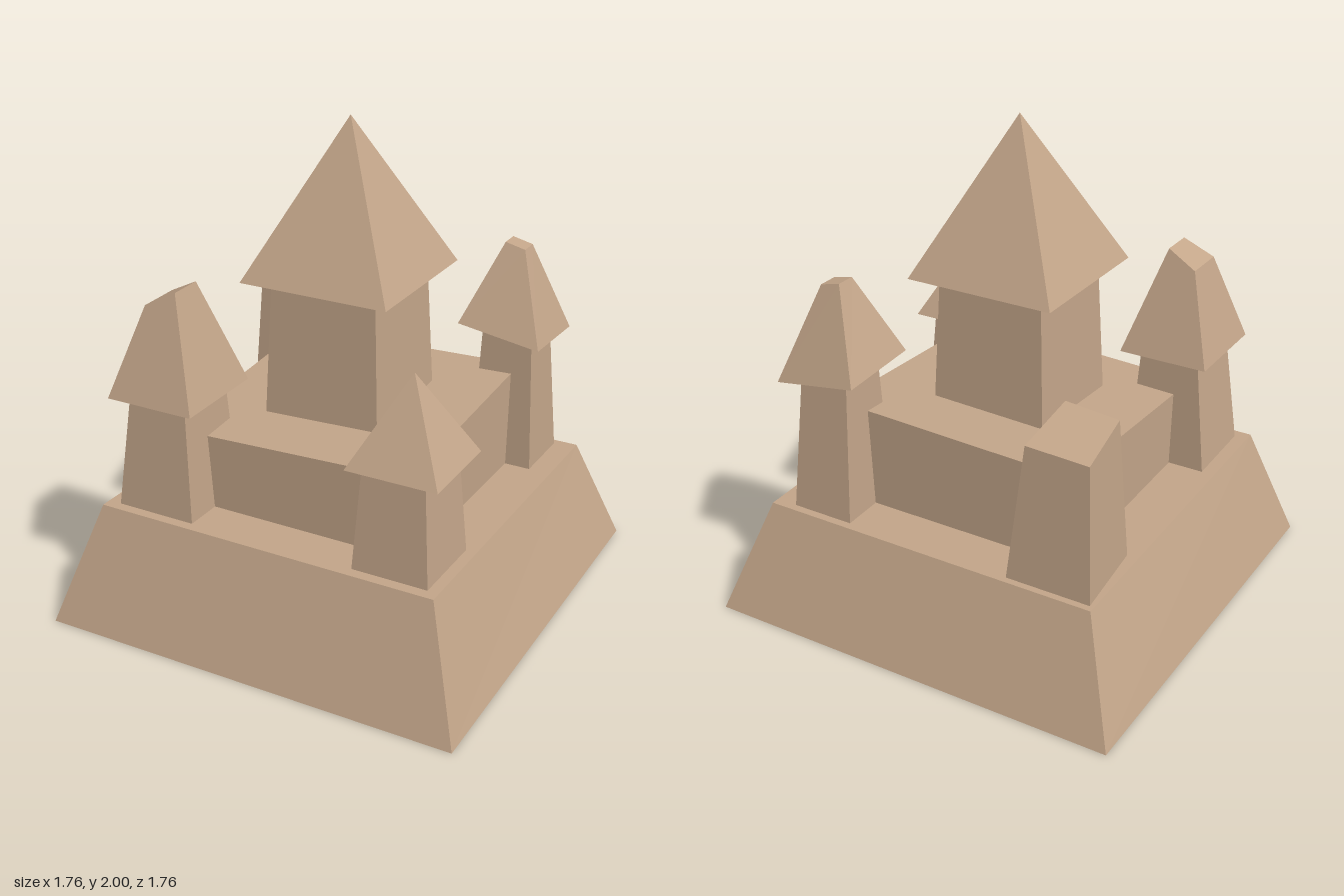
import * as THREE from 'three';

const sand = new THREE.MeshStandardMaterial({ color: 0xc4a68a });
sand.name = 'sand';

// Four corners (back left, front left, front right, back right).
// y is one height, or a height for each corner.
function ring(x0, x1, z0, z1, y) {
  const h = Array.isArray(y) ? y : [y, y, y, y];
  return [[x0, h[0], z0], [x0, h[1], z1], [x1, h[2], z1], [x1, h[3], z0]];
}

// Flat-faced solid between two four-cornered rings.
function block(name, bottom, top) {
  const pos = [];
  const tri = (...p) => p.forEach((v) => pos.push(...v));
  const quad = (a, b, c, d) => { tri(a, b, c); tri(a, c, d); };
  for (let i = 0; i < 4; i++) {
    const j = (i + 1) % 4;
    quad(bottom[i], bottom[j], top[j], top[i]);
  }
  quad(...top);
  quad(...[...bottom].reverse());
  const geo = new THREE.BufferGeometry();
  geo.setAttribute('position', new THREE.Float32BufferAttribute(pos, 3));
  geo.computeVertexNormals();
  const mesh = new THREE.Mesh(geo, sand);
  mesh.name = name;
  return mesh;
}

// Four-sided pointed roof with a flat underside.
function pointedRoof(name, x, z, r, y, tip) {
  const geo = new THREE.ConeGeometry(r * Math.SQRT2, tip - y, 4, 1).rotateY(Math.PI / 4).toNonIndexed();
  geo.computeVertexNormals();
  const mesh = new THREE.Mesh(geo, sand);
  mesh.position.set(x, (y + tip) / 2, z);
  mesh.name = name;
  return mesh;
}

export function createModel() {
  const castle = new THREE.Group();
  castle.name = 'sandCastle';

  // Mound and the walled block on it, both with slightly sloping tops
  castle.add(
    block('mound', ring(-0.885, 0.88, -0.885, 0.88, 0), ring(-0.725, 0.72, -0.725, 0.72, [0.465, 0.5, 0.5, 0.465])),
    block('innerBlock', ring(-0.52, 0.52, -0.52, 0.515, 0.45), ring(-0.52, 0.52, -0.52, 0.515, [0.85, 0.795, 0.835, 0.885])),
  );

  // Central tower
  castle.add(
    block('mainTower', ring(-0.25, 0.25, -0.25, 0.25, 0.78), ring(-0.225, 0.225, -0.225, 0.225, 1.38)),
    pointedRoof('mainRoof', 0, 0, 0.314, 1.376, 2),
  );

  // Front tower with a whole roof
  castle.add(
    block('frontLeftTower', ring(0.363, 0.678, 0.337, 0.677, 0.46), ring(0.39, 0.645, 0.36, 0.645, 0.9)),
    pointedRoof('frontLeftRoof', 0.52, 0.49, 0.186, 0.9, 1.25),
  );

  // Front tower with a worn roof tip
  castle.add(
    block('frontRightTower', ring(-0.675, -0.33, 0.337, 0.68, 0.46), ring(-0.615, -0.365, 0.36, 0.645, 0.97)),
    block('frontRightRoof', ring(-0.675, -0.3, 0.295, 0.705, 0.97),
      [[-0.56, 1.335, 0.41], [-0.56, 1.335, 0.59], [-0.435, 1.4, 0.57], [-0.435, 1.4, 0.43]]),
  );

  // Back tower with a tilted, worn roof
  castle.add(
    block('backLeftTower', ring(0.36, 0.63, -0.695, -0.405, 0.44), ring(0.387, 0.6, -0.635, -0.43, [1.07, 1.075, 1.04, 1.035])),
    block('backLeftRoof', ring(0.308, 0.66, -0.708, -0.35, [1.07, 1.09, 1.035, 1.015]),
      ring(0.445, 0.53, -0.57, -0.49, [1.42, 1.42, 1.4, 1.4])),
  );

  // Crooked back tower that has lost its roof
  castle.add(
    block('rooflessTower',
      [[-0.71, 0.44, -0.7], [-0.68, 0.44, -0.345], [-0.39, 0.44, -0.352], [-0.353, 0.44, -0.7]],
      [[-0.675, 1.01, -0.66], [-0.648, 1.06, -0.385], [-0.415, 1.07, -0.37], [-0.413, 1.02, -0.66]]),
  );

  return castle;
}
